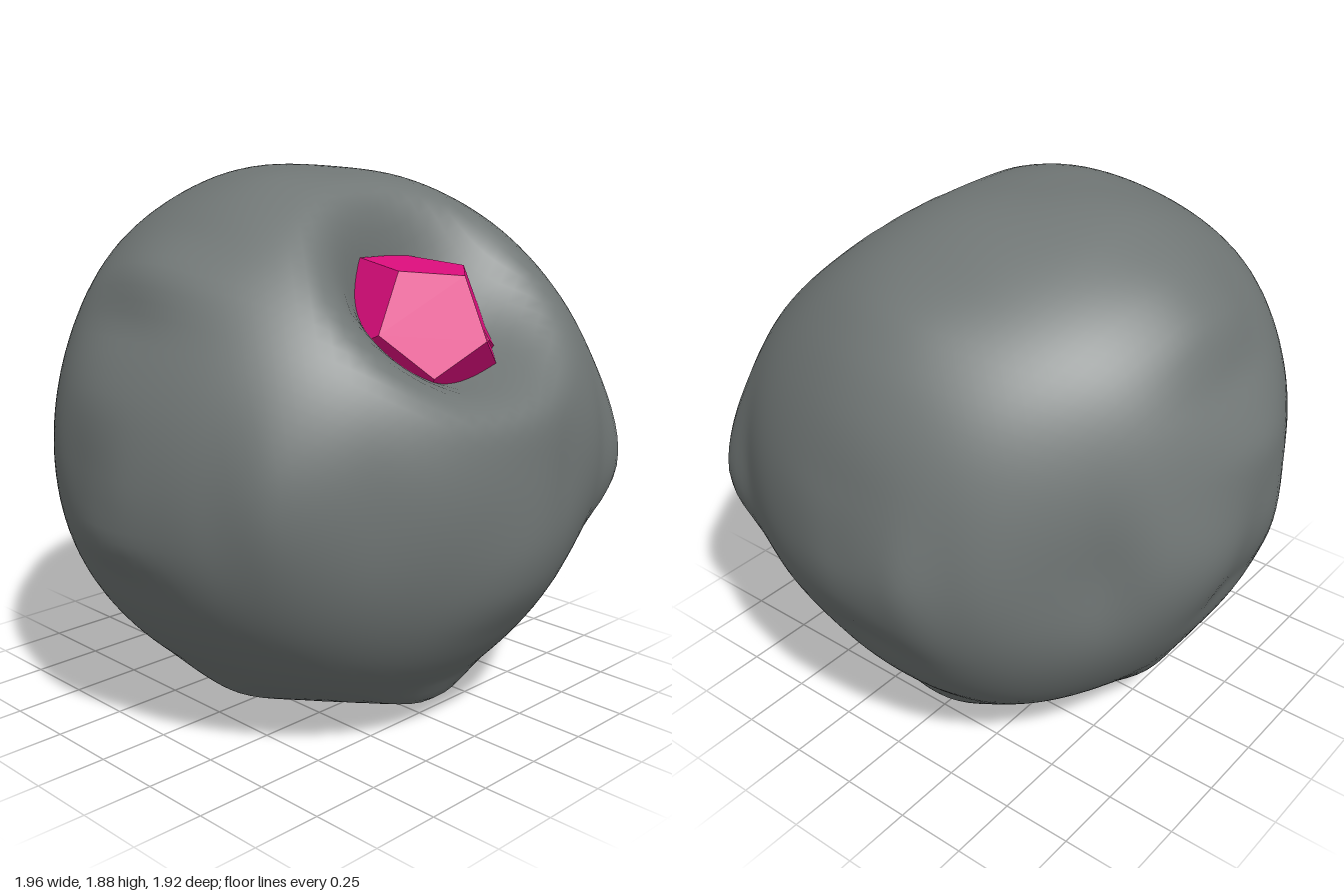
import * as THREE from 'three';
import { mergeVertices } from 'three/addons/utils/BufferGeometryUtils.js';

const MID = 0.94; // height of the boulder's centre

// Outlines of the boulder in three planes, as coordinate pairs
const OUTLINE_XY = [
  0.995, 0.89, 0.97, 1.07, 0.94, 1.2, 0.89, 1.4, 0.81, 1.55, 0.69, 1.68, 0.5, 1.77, 0.28, 1.86,
  0, 1.875, -0.28, 1.87, -0.41, 1.82, -0.6, 1.7, -0.77, 1.6, -0.82, 1.43, -0.95, 1.2, -0.97, 1,
  -1, 0.76, -0.9, 0.63, -0.78, 0.41, -0.6, 0.22, -0.43, 0.06, -0.2, 0.04, 0.04, 0.01, 0.28, 0.06,
  0.42, 0.03, 0.51, 0.05, 0.62, 0.21, 0.77, 0.39, 0.84, 0.57, 0.93, 0.7,
];
const OUTLINE_ZY = [
  0.97, 0.7, 0.96, 1, 0.94, 1.18, 0.84, 1.36, 0.66, 1.59, 0.44, 1.76, 0.25, 1.84, 0.1, 1.87,
  -0.38, 1.87, -0.48, 1.83, -0.63, 1.76, -0.77, 1.64, -0.83, 1.47, -0.96, 1.25, -0.96, 1.13,
  -0.91, 0.9, -0.84, 0.68, -0.82, 0.57, -0.75, 0.44, -0.6, 0.23, -0.5, 0.15, -0.35, 0.08,
  -0.12, 0.01, -0.02, 0.01, 0.2, 0.05, 0.45, 0.06, 0.58, 0.08, 0.65, 0.2, 0.75, 0.31,
  0.83, 0.42, 0.93, 0.57,
];
const OUTLINE_XZ = [
  0.96, 0, 0.95, 0.2, 0.9, 0.4, 0.79, 0.6, 0.75, 0.74, 0.7, 0.79, 0.57, 0.82, 0.48, 0.87,
  0.2, 0.92, -0.08, 0.96, -0.35, 0.91, -0.55, 0.8, -0.82, 0.6, -0.88, 0.45, -0.96, 0.25, -1, 0.1,
  -0.96, -0.1, -0.93, -0.27, -0.8, -0.5, -0.65, -0.66, -0.44, -0.78, -0.26, -0.87, -0.09, -0.97,
  0.02, -0.955, 0.16, -0.97, 0.28, -0.945, 0.43, -0.86, 0.54, -0.72, 0.7, -0.61, 0.85, -0.47,
  0.91, -0.37, 1, -0.25, 0.99, -0.1,
];

// Radius of an outline by angle; detail fades to a smooth average away from its plane
function radial(points, midV) {
  const polar = [];
  for (let i = 0; i < points.length; i += 2) {
    const u = points[i], v = points[i + 1] - midV;
    polar.push({ a: Math.atan2(v, u), r: Math.hypot(u, v) });
  }
  polar.sort((p, q) => p.a - q.a);
  const first = polar[0], last = polar[polar.length - 1];
  polar.unshift({ a: last.a - 2 * Math.PI, r: last.r });
  polar.push({ a: first.a + 2 * Math.PI, r: first.r });
  const sharp = (angle) => {
    const a = Math.atan2(Math.sin(angle), Math.cos(angle));
    let i = 1;
    while (i < polar.length - 1 && polar[i].a < a) i++;
    const p = polar[i - 1], q = polar[i];
    return THREE.MathUtils.mapLinear(a, p.a, q.a, p.r, q.r);
  };
  const blurred = (angle, spread) => {
    let sum = 0, total = 0;
    for (let k = -8; k <= 8; k++) {
      const w = Math.exp(-k * k / 20);
      sum += w * sharp(angle + k * spread / 4);
      total += w;
    }
    return sum / total;
  };
  return (u, v, offPlane) => {
    const a = Math.atan2(v, u);
    const near = Math.exp(-((offPlane / 0.24) ** 2));
    return THREE.MathUtils.lerp(blurred(a, 0.4), blurred(a, 0.04), near);
  };
}

// Boulder: a sphere pushed out to the blended outlines, with a crater, lumps and dents
function boulderGeometry() {
  const rXY = radial(OUTLINE_XY, MID), rZY = radial(OUTLINE_ZY, MID), rXZ = radial(OUTLINE_XZ, 0);
  const weight = (n) => (1 - n * n) ** 2 / (n * n + 0.03);
  const crater = new THREE.Vector3(-0.03, 0.48, 0.5).normalize();
  const lumps = [
    { dir: [0.68, -0.15, 0.68], height: 0.04, size: 0.17 },
    { dir: [0.5, -0.6, 0.55], height: -0.03, size: 0.3 },
    { dir: [0, -0.78, -0.52], height: 0.04, size: 0.16 },
    { dir: [0.9, 0.05, -0.2], height: -0.02, size: 0.22 },
    { dir: [-0.19, 0.65, -0.65], height: -0.02, size: 0.22 },
  ].map((l) => ({ ...l, dir: new THREE.Vector3(...l.dir).normalize() }));

  let geo = new THREE.IcosahedronGeometry(1, 24);
  geo.deleteAttribute('normal');
  geo.deleteAttribute('uv');
  geo = mergeVertices(geo, 1e-5);
  const pos = geo.attributes.position;
  const d = new THREE.Vector3();
  for (let i = 0; i < pos.count; i++) {
    d.fromBufferAttribute(pos, i).normalize();
    const wz = weight(d.z), wx = weight(d.x), wy = weight(d.y);
    let r = wz * rXY(d.x, d.y, d.z) + wx * rZY(d.z, d.y, d.x) + wy * rXZ(d.x, d.z, d.y);
    r /= wx + wy + wz;
    r -= 0.33 * Math.exp(-((d.angleTo(crater) / 0.41) ** 5));
    for (const l of lumps) r += l.height * Math.exp(-((d.angleTo(l.dir) / l.size) ** 2));
    pos.setXYZ(i, d.x * r, d.y * r + MID, d.z * r);
  }
  geo.computeBoundingBox();
  geo.translate(0, -geo.boundingBox.min.y, 0);
  geo.computeVertexNormals();
  return geo;
}

export function createModel() {
  const stone = new THREE.MeshStandardMaterial({ color: 0x717776 });
  stone.name = 'greyStone';
  const pink = new THREE.MeshStandardMaterial({ color: 0xdc0d7c, flatShading: true });
  pink.name = 'pinkCrystal';

  const model = new THREE.Group();
  model.name = 'crystalBoulder';
  const add = (name, geo, mat) => {
    const mesh = new THREE.Mesh(geo, mat);
    mesh.name = name;
    model.add(mesh);
    return mesh;
  };

  add('boulder', boulderGeometry(), stone);

  // Faceted gem bedded in the crater, with a lower shard beside it
  const gem = add('gem', new THREE.DodecahedronGeometry(0.31), pink);
  gem.position.set(-0.035, 1.34, 0.45);
  gem.rotation.set(-0.45, 0.1, 0);
  const shard = add('gemShard', new THREE.DodecahedronGeometry(0.27), pink);
  shard.position.set(0.02, 1.33, 0.44);
  shard.rotation.set(-0.45, 0.1, 0.3);

  return model;
}
